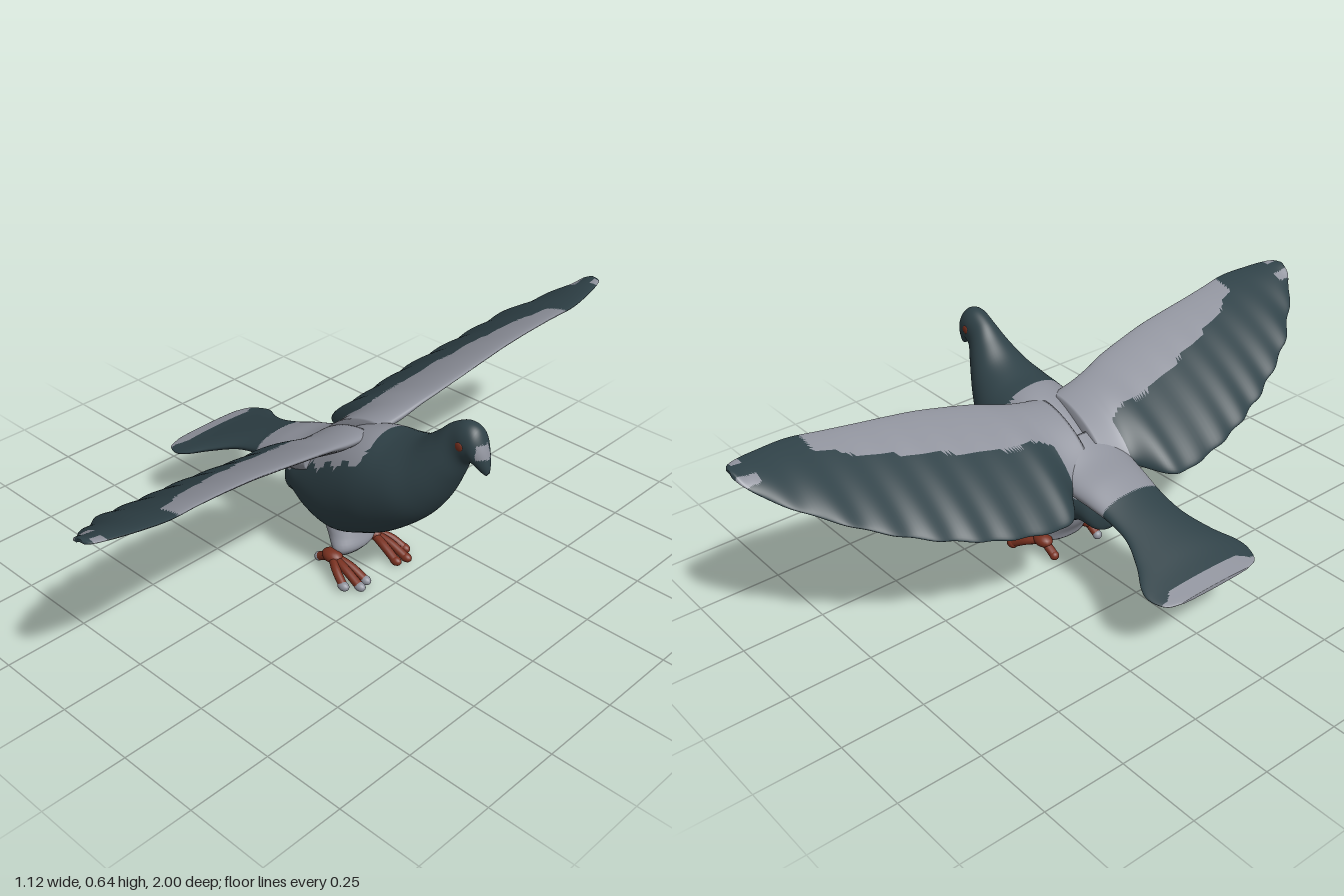
import * as THREE from 'three';

const paint = (name, color) => {
  const m = new THREE.MeshStandardMaterial({ color });
  m.name = name;
  return m;
};
const slate = paint('slate', 0x2f4147);
const paleGrey = paint('paleGrey', 0x8f929c);
const red = paint('red', 0x78301f);

// Closed skin over rings of points; pale(centre) picks the colour of each face.
function skin(name, rings, pale, flip = false) {
  const n = rings[0].length;
  const pts = rings.flat();
  const faces = [[], []];
  const centre = new THREE.Vector3();
  const add = (a, b, c) => {
    centre.copy(pts[a]).add(pts[b]).add(pts[c]).divideScalar(3);
    faces[pale(centre) ? 1 : 0].push(...(flip ? [a, c, b] : [a, b, c]));
  };
  const middle = (ring) => ring.reduce((s, p) => s.add(p), new THREE.Vector3()).divideScalar(n);
  const start = pts.push(middle(rings[0])) - 1;
  const end = pts.push(middle(rings[rings.length - 1])) - 1;
  const last = (rings.length - 1) * n;
  for (let j = 0; j < n; j++) {
    const k = (j + 1) % n;
    for (let i = 0; i < last; i += n) {
      add(i + j, i + k, i + n + j);
      add(i + k, i + n + k, i + n + j);
    }
    add(start, k, j);
    add(end, last + j, last + k);
  }
  const g = new THREE.BufferGeometry().setFromPoints(pts);
  g.setIndex([...faces[0], ...faces[1]]);
  g.addGroup(0, faces[0].length, 0);
  g.addGroup(faces[0].length, faces[1].length, 1);
  g.computeVertexNormals();
  const mesh = new THREE.Mesh(g, [slate, paleGrey]);
  mesh.name = name;
  return mesh;
}

// Elliptical rings from rows of [topX, topY, bottomX, bottomY, halfWidth].
function ovalRings(rows, steps, sides) {
  const top = new THREE.CatmullRomCurve3(rows.map((r) => new THREE.Vector3(r[0], r[1], r[4])), false, 'catmullrom');
  const low = new THREE.CatmullRomCurve3(rows.map((r) => new THREE.Vector3(r[2], r[3], 0)), false, 'catmullrom');
  return Array.from({ length: steps + 1 }, (_, i) => {
    const a = top.getPoint(i / steps), b = low.getPoint(i / steps);
    return Array.from({ length: sides }, (_, j) => {
      const t = (j / sides) * Math.PI * 2, u = (1 + Math.cos(t)) / 2;
      return new THREE.Vector3(b.x + (a.x - b.x) * u, b.y + (a.y - b.y) * u, a.z * Math.sin(t));
    });
  });
}

function makeBody() {
  const rows = [
    [-0.145, 0.235, -0.142, 0.18, 0.02], [-0.14, 0.28, -0.125, 0.165, 0.07],
    [-0.12, 0.33, -0.07, 0.175, 0.10], [-0.05, 0.37, 0, 0.14, 0.125],
    [0.02, 0.42, 0.08, 0.122, 0.14], [0.1, 0.47, 0.17, 0.155, 0.146],
    [0.18, 0.5, 0.26, 0.205, 0.145], [0.26, 0.512, 0.36, 0.29, 0.13],
    [0.33, 0.537, 0.42, 0.37, 0.10], [0.385, 0.578, 0.465, 0.46, 0.068],
    [0.43, 0.62, 0.49, 0.515, 0.046], [0.48, 0.645, 0.51, 0.532, 0.042],
    [0.52, 0.635, 0.52, 0.53, 0.038], [0.545, 0.59, 0.526, 0.525, 0.028],
    [0.558, 0.545, 0.538, 0.514, 0.015], [0.56, 0.52, 0.552, 0.508, 0.006],
  ];
  // pale shoulder saddle and a small patch above the beak
  return skin('body', ovalRings(rows, 90, 64), (p) =>
    (p.x < 0.21 && p.y > 0.43 + 0.5 * (p.x - 0.17) + 0.012 * Math.sin(p.x * 90)) ||
    (p.x > 0.533 && p.y > 0.56 && p.y < 0.6 && p.z > -0.012));
}

function makeTail() {
  const rows = [
    [-0.562, 0.207, -0.562, 0.196, 0.125], [-0.545, 0.212, -0.545, 0.19, 0.168],
    [-0.5, 0.226, -0.5, 0.188, 0.188], [-0.46, 0.24, -0.46, 0.197, 0.18],
    [-0.4, 0.264, -0.4, 0.216, 0.142], [-0.32, 0.295, -0.32, 0.242, 0.108],
    [-0.24, 0.325, -0.24, 0.257, 0.103], [-0.16, 0.358, -0.16, 0.265, 0.112],
    [-0.08, 0.385, -0.08, 0.275, 0.122], [0, 0.425, 0, 0.29, 0.12],
  ];
  const spot = (p, x, z, rx, rz) => ((p.x - x) / rx) ** 2 + ((p.z - z) / rz) ** 2 < 1;
  return skin('tail', ovalRings(rows, 110, 88), (p) => {
    const upper = p.y > 0.21 + 0.44 * (p.x + 0.53);
    if (p.x < (upper ? -0.512 : -0.535) || p.x > (upper ? -0.26 : -0.22)) return true;
    return upper && (spot(p, -0.31, -0.01, 0.024, 0.085) ||
      spot(p, -0.445, -0.13, 0.034, 0.045) || spot(p, -0.445, 0.1, 0.034, 0.052));
  });
}

function makeWing(side) {
  // rows of z, leading edge x y, trailing edge x y, half thickness
  const rows = [
    [0.02, 0.16, 0.475, -0.07, 0.35, 0.03], [0.11, 0.168, 0.49, -0.1, 0.325, 0.032],
    [0.18, 0.177, 0.508, -0.185, 0.305, 0.028], [0.25, 0.19, 0.528, -0.2, 0.301, 0.025],
    [0.4, 0.205, 0.56, -0.188, 0.332, 0.021], [0.5, 0.21, 0.576, -0.167, 0.36, 0.019],
    [0.6, 0.216, 0.588, -0.137, 0.392, 0.017], [0.7, 0.225, 0.599, -0.098, 0.432, 0.015],
    [0.8, 0.236, 0.609, -0.05, 0.48, 0.013], [0.9, 0.222, 0.616, 0.03, 0.53, 0.011],
    [0.96, 0.208, 0.62, 0.085, 0.568, 0.009], [0.99, 0.195, 0.62, 0.12, 0.595, 0.007],
    [1, 0.18, 0.617, 0.15, 0.607, 0.004],
  ];
  const curve = (x, y) =>
    new THREE.CatmullRomCurve3(rows.map((r) => new THREE.Vector3(r[x], r[y], r[0])), false, 'catmullrom');
  const lead = curve(1, 2), trail = curve(3, 4);
  const steps = 120, sides = 64, rings = [];
  for (let i = 0; i <= steps; i++) {
    const t = i / steps, a = lead.getPoint(t), b = trail.getPoint(t);
    const f = t * (rows.length - 1), k = Math.min(Math.floor(f), rows.length - 2);
    const thick = THREE.MathUtils.lerp(rows[k][5], rows[k + 1][5], f - k);
    b.x += 0.005 * Math.sin(b.z * 60) * Math.min(1, b.z * 2); // feathered edge
    const normal = new THREE.Vector2(b.y - a.y, a.x - b.x).normalize();
    rings.push(Array.from({ length: sides }, (_, j) => {
      const q = (j / sides) * Math.PI * 2, u = (1 + Math.cos(q)) / 2;
      const h = thick * Math.sin(q) + 0.06 * u * (1 - u) * (1 - 0.6 * t);
      return new THREE.Vector3(b.x + (a.x - b.x) * u + normal.x * h,
        b.y + (a.y - b.y) * u + normal.y * h, a.z * side);
    }));
  }
  // pale forewing with dark flight feathers and a few pale tip marks
  const pale = (p) => {
    const z = Math.abs(p.z);
    if (z < 0.11) return true;
    if (z > 0.94) return Math.abs(p.x - 0.125) < 0.014 || (z > 0.955 && z < 0.985 && p.x > 0.18);
    return z < 0.765 && p.x > -0.005 + 0.3 * z ** 2.2 + 0.006 * Math.sin(z * 45);
  };
  return skin(side > 0 ? 'leftWing' : 'rightWing', rings, pale, side < 0);
}

function makeFoot(side) {
  const foot = new THREE.Group();
  foot.name = side > 0 ? 'leftFoot' : 'rightFoot';
  const ball = (name, mat, p, s) => {
    const m = new THREE.Mesh(new THREE.SphereGeometry(1, 18, 12), mat);
    m.name = name;
    m.position.set(...p);
    m.scale.set(...s);
    foot.add(m);
    return m;
  };
  ball('ankle', red, [0.075, 0.056, 0.085 * side], [0.036, 0.021, 0.026]);
  // three front toes and one hind toe
  for (const [x, z] of [[0.19, 0.066], [0.2, 0.1], [0.165, 0.132], [0.02, 0.085]]) {
    const path = new THREE.CatmullRomCurve3([
      new THREE.Vector3(0.075, 0.055, 0.085 * side),
      new THREE.Vector3((x + 0.075) / 2, 0.042, ((z + 0.085) / 2 + (z - 0.085) * 0.15) * side),
      new THREE.Vector3(x, x < 0.05 ? 0.026 : 0.016, z * side),
    ]);
    const toe = new THREE.Mesh(new THREE.TubeGeometry(path, 12, 0.0135, 12), red);
    toe.name = 'toe';
    foot.add(toe);
    const tip = ball('toeTip', side > 0 ? paleGrey : red,
      [x, x < 0.05 ? 0.026 : 0.016, z * side], [0.02, 0.0145, 0.0145]);
    if (x < 0.05) tip.scale.x = 0.014;
  }
  return foot;
}

export function createModel() {
  const bird = new THREE.Group();
  bird.name = 'bird';
  bird.add(makeBody(), makeTail());

  // joined feathered shanks, built from the feet upwards
  const shanks = [
    [0.045, 0.05, 0.105, 0.05, 0.07], [0.035, 0.075, 0.122, 0.075, 0.08],
    [0.012, 0.11, 0.11, 0.11, 0.074], [0, 0.145, 0.098, 0.14, 0.075], [-0.005, 0.18, 0.1, 0.18, 0.075],
  ];
  bird.add(skin('shanks', ovalRings(shanks, 16, 32), () => true));

  for (const side of [1, -1]) {
    bird.add(makeWing(side), makeFoot(side));
    const eye = new THREE.Mesh(new THREE.SphereGeometry(0.013, 16, 12), red);
    eye.name = side > 0 ? 'leftEye' : 'rightEye';
    eye.position.set(0.487, 0.586, 0.041 * side);
    eye.scale.z = 0.3;
    bird.add(eye);
  }
  return bird;
}
